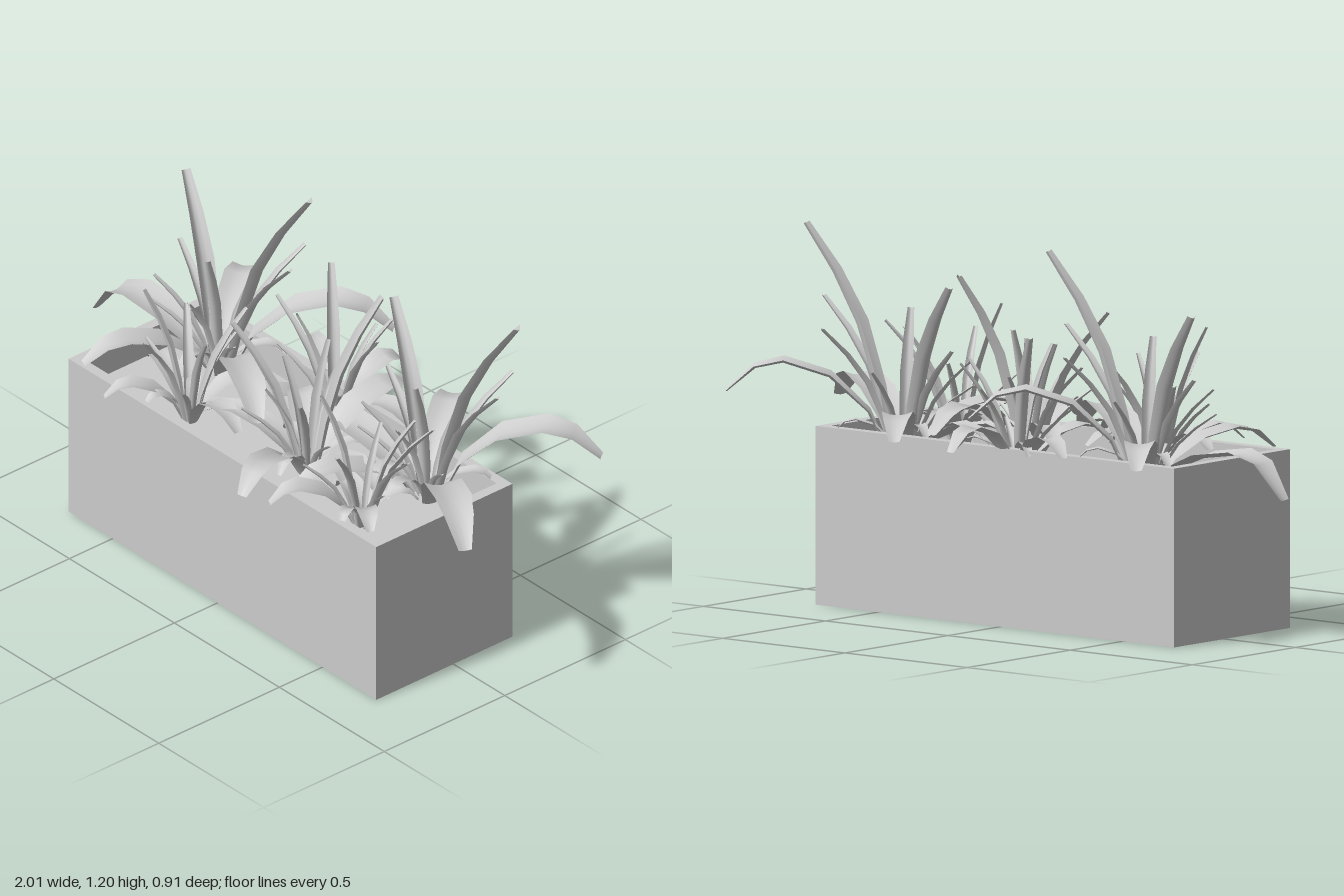
import * as THREE from 'three';

const material = new THREE.MeshStandardMaterial({ color: 0xcccccc });
const leafMaterial = new THREE.MeshStandardMaterial({ color: 0xcccccc, side: THREE.DoubleSide });
const SOIL = 0.47;

// Channelled ribbon swept along a few points; widths gives the width at each one, fold the channel depth.
function ribbon(name, points, widths, fold) {
  const dx = points.at(-1).x - points[0].x, dz = points.at(-1).z - points[0].z;
  const across = new THREE.Vector3(-dz, 0, dx).normalize();
  const cols = 5, pos = [], idx = [];
  points.forEach((p, i) => {
    const a = points[Math.max(i - 1, 0)], b = points[Math.min(i + 1, points.length - 1)];
    const under = b.clone().sub(a).cross(across).normalize();
    for (let j = 0; j < cols; j++) {
      const s = j / (cols - 1) - 0.5;
      const v = p.clone().addScaledVector(across, s * widths[i]);
      v.addScaledVector(under, (0.1 - s * s) * widths[i] * fold);
      pos.push(v.x, v.y, v.z);
      if (i && j) {
        const k = i * cols + j;
        idx.push(k - cols - 1, k - 1, k - cols, k - cols, k - 1, k);
      }
    }
  });
  const geometry = new THREE.BufferGeometry();
  geometry.setAttribute('position', new THREE.Float32BufferAttribute(pos, 3));
  geometry.setIndex(idx);
  geometry.computeVertexNormals();
  const mesh = new THREE.Mesh(geometry, leafMaterial);
  mesh.name = name;
  return mesh;
}

// Point a fraction t of the way from the clump centre to the tip, at height y
const at = (cx, cz, tx, tz, t, y) => new THREE.Vector3(cx + (tx - cx) * t, y, cz + (tz - cz) * t);

// Upright blade that bends outwards to a blunt tip
function blade(cx, cz, [x, y, z, w]) {
  const h = y - SOIL;
  const rows = [[0.12, 0], [0.26, 0.3], [0.45, 0.58], [0.7, 0.8], [1, 1]];
  return ribbon('uprightBlade', rows.map(([t, k]) => at(cx, cz, x, z, t, SOIL + h * k)),
    [0.6, 0.9, 1, 0.8, 0.5].map(k => k * w), 1.6);
}

// Broad leaf that rises, runs level and drops at its tip
function archLeaf(cx, cz, [x, y, z, w, peak]) {
  const rise = peak - SOIL;
  const pts = [[0.08, SOIL], [0.2, SOIL + rise * 0.48], [0.42, SOIL + rise * 0.85],
    [0.68, peak], [0.84, peak * 0.8 + y * 0.2], [1, y]];
  return ribbon('archingLeaf', pts.map(([t, h]) => at(cx, cz, x, z, t, h)),
    [0.4, 0.72, 1, 0.98, 0.78, 0.35].map(k => k * w), 0.5);
}

function clump(name, cx, cz, blades, leaves, turn, radius) {
  const g = new THREE.Group();
  g.name = name;
  blades.forEach(b => g.add(blade(cx, cz, b)));
  leaves.forEach(l => g.add(archLeaf(cx, cz, l)));
  // Short inner leaves around the root
  for (let i = 0; i < 6; i++) {
    const a = turn + i * Math.PI / 3, r = radius * (0.9 + 0.2 * (i % 3));
    const x = cx + Math.cos(a) * r, z = cz + Math.sin(a) * r;
    g.add(i % 2 ? archLeaf(cx, cz, [x, 0.55, z, 0.045, 0.59])
      : blade(cx, cz, [x, 0.64 + 0.03 * i, z, 0.025]));
  }
  return g;
}

export function createModel() {
  const model = new THREE.Group();

  // Rectangular trough with an open top
  const outline = new THREE.Shape([[-0.71, -0.32], [0.755, -0.32], [0.755, 0.245], [-0.71, 0.245]]
    .map(p => new THREE.Vector2(...p)));
  outline.holes.push(new THREE.Path([[-0.675, -0.285], [-0.675, 0.21], [0.72, 0.21], [0.72, -0.285]]
    .map(p => new THREE.Vector2(...p))));
  const walls = new THREE.Mesh(
    new THREE.ExtrudeGeometry(outline, { depth: 0.565, bevelEnabled: false }).rotateX(-Math.PI / 2), material);
  walls.name = 'planterWalls';
  model.add(walls);

  // Soil surface, and the floor closing the underside
  for (const [name, y, turn] of [['soil', SOIL, -1], ['planterFloor', 0, 1]]) {
    const sheet = new THREE.Mesh(new THREE.PlaneGeometry(1.395, 0.495).rotateX(turn * Math.PI / 2), material);
    sheet.name = name;
    sheet.position.set(0.0225, y, 0.0375);
    model.add(sheet);
  }

  // Two large matching plants
  const bigBlades = [[0.315, 1.195, -0.12, 0.07], [-0.27, 1.04, -0.11, 0.06], [0.13, 0.89, -0.26, 0.038],
    [0.3, 0.96, -0.05, 0.04], [0.05, 0.93, 0.08, 0.042], [-0.23, 0.83, -0.05, 0.035],
    [-0.18, 0.78, 0.1, 0.03], [0.01, 0.77, 0.12, 0.03]];
  const bigLeaves = [[0.435, 0.68, -0.36, 0.12, 0.775], [-0.525, 0.47, 0.03, 0.13, 0.605],
    [-0.25, 0.58, -0.36, 0.1, 0.65], [0.475, 0.6, 0.24, 0.12, 0.69], [-0.18, 0.57, 0.39, 0.105, 0.64]];
  for (const x of [-0.47, 0.52]) {
    const plant = clump('largePlant', 0, -0.015, bigBlades, bigLeaves, 0.4, 0.17);
    plant.position.set(x, 0, -0.08);
    model.add(plant);
  }

  // Medium plants, front centre and back centre
  model.add(clump('frontCentrePlant', 0.165, 0.09,
    [[0.27, 1.07, -0.13, 0.06], [-0.07, 0.95, 0.2, 0.045], [0.14, 0.9, -0.02, 0.035],
      [0.3, 0.83, 0.24, 0.03], [0.09, 0.78, 0.2, 0.03], [0.06, 0.85, 0.1, 0.035]],
    [[0.26, 0.57, 0.445, 0.1, 0.64], [0.19, 0.6, -0.35, 0.105, 0.68], [-0.2, 0.57, 0.2, 0.09, 0.62],
      [0.5, 0.57, 0.1, 0.09, 0.62], [-0.1, 0.57, -0.1, 0.09, 0.62]], 0.2, 0.16));
  model.add(clump('backCentrePlant', -0.01, -0.175,
    [[-0.16, 0.93, -0.29, 0.042], [0.1, 0.83, -0.32, 0.035], [0.17, 0.83, -0.2, 0.03],
      [-0.06, 0.88, -0.06, 0.035], [-0.25, 0.83, -0.14, 0.03]],
    [[0.03, 0.57, -0.45, 0.09, 0.64], [-0.32, 0.57, -0.32, 0.08, 0.62],
      [0.3, 0.57, -0.22, 0.08, 0.62], [-0.14, 0.57, 0.12, 0.09, 0.62]], 0.6, 0.15));

  // Small plants along the front
  model.add(clump('frontRightPlant', -0.305, 0.17,
    [[-0.47, 0.77, 0.04, 0.035], [-0.25, 0.83, -0.02, 0.035], [-0.3, 0.83, 0.365, 0.03],
      [-0.17, 0.83, 0.22, 0.03], [-0.42, 0.93, 0.26, 0.04]],
    [[-0.46, 0.57, 0.39, 0.075, 0.62], [-0.03, 0.57, 0.21, 0.08, 0.62],
      [-0.55, 0.57, 0.12, 0.08, 0.61], [-0.2, 0.57, -0.06, 0.08, 0.61]], 0.9, 0.14));
  model.add(clump('frontLeftPlant', 0.51, 0.17,
    [[0.41, 0.93, 0.25, 0.04], [0.62, 0.85, 0.04, 0.035], [0.77, 0.83, 0.2, 0.03],
      [0.72, 0.87, 0.05, 0.035], [0.6, 0.83, 0.35, 0.03]],
    [[0.35, 0.57, 0.41, 0.09, 0.63], [0.3, 0.57, 0.1, 0.08, 0.61],
      [0.68, 0.57, 0.28, 0.07, 0.61], [0.45, 0.57, -0.05, 0.08, 0.61]], 0.1, 0.14));

  return model;
}
